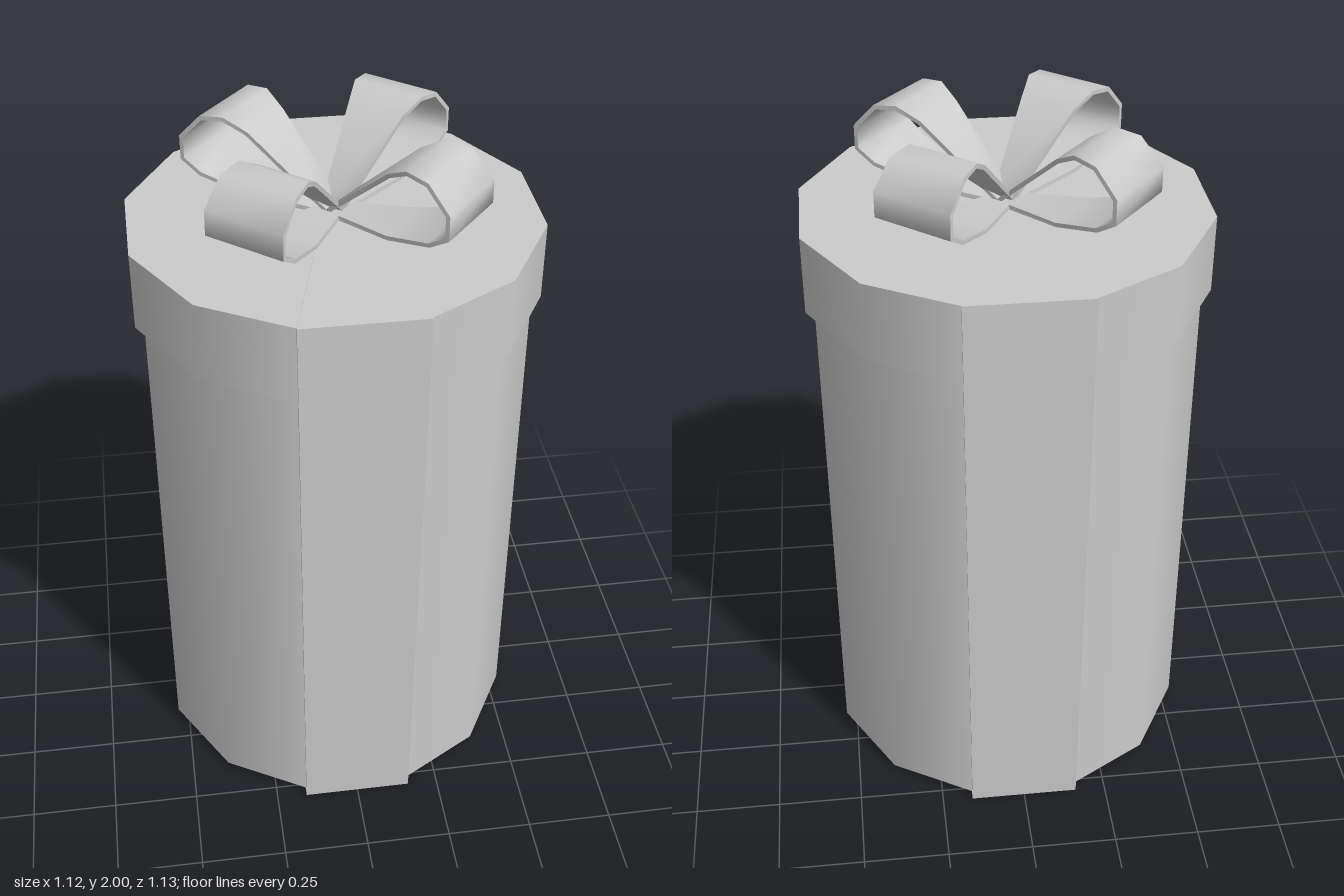
import * as THREE from 'three';
import { toCreasedNormals } from 'three/addons/utils/BufferGeometryUtils.js';

const material = new THREE.MeshStandardMaterial({ color: 0xcccccc });

// Closed strip of ribbon: a counter-clockwise path of [x, y, halfWidth], thickened inwards
function ribbonGeometry(path, thickness) {
  const n = path.length, positions = [], index = [];
  const normal = (a, b) => new THREE.Vector2(b[1] - a[1], a[0] - b[0]).normalize();
  path.forEach((p, i) => {
    const n1 = normal(path[(i + n - 1) % n], p);
    const n2 = normal(p, path[(i + 1) % n]);
    const scale = thickness / Math.max(1 + n1.dot(n2), 0.6);
    const m = n1.clone().add(n2).multiplyScalar(scale);
    const [x, y, w] = p;
    positions.push(x, y, w, x, y, -w, x - m.x, y - m.y, -w, x - m.x, y - m.y, w);
    for (let k = 0; k < 4; k++) {
      const j = (i + 1) % n, k2 = (k + 1) % 4;
      const a = i * 4 + k, b = i * 4 + k2, c = j * 4 + k2, d = j * 4 + k;
      index.push(a, b, c, a, c, d);
    }
  });
  const geometry = new THREE.BufferGeometry();
  geometry.setAttribute('position', new THREE.Float32BufferAttribute(positions, 3));
  geometry.setIndex(index);
  return toCreasedNormals(geometry, THREE.MathUtils.degToRad(65));
}

// Twelve-sided drum with a flat side facing the front
function drum(name, radius, bottom, top) {
  const geometry = new THREE.CylinderGeometry(radius, radius, top - bottom, 12, 1, false, Math.PI / 12);
  const mesh = new THREE.Mesh(geometry, material);
  mesh.name = name;
  mesh.position.y = (top + bottom) / 2;
  return mesh;
}

export function createModel() {
  const group = new THREE.Group();
  group.name = 'giftBox';

  group.add(drum('boxBody', 0.552, 0.012, 1.6));
  group.add(drum('lid', 0.578, 1.525, 1.75));

  // Ribbon wrapped front to back, pinched at the top centre
  const band = new THREE.Mesh(ribbonGeometry([
    [0, 1.756, 0.025], [-0.561, 1.756, 0.168], [-0.565, 1.525, 0.167], [-0.543, 0, 0.16],
    [0.543, 0, 0.16], [0.565, 1.525, 0.167], [0.561, 1.756, 0.168],
  ], 0.01), material);
  band.name = 'ribbonBand';
  band.rotation.y = -Math.PI / 2;
  group.add(band);

  // Bow of four loops around the centre
  const bow = new THREE.Group();
  bow.name = 'bow';
  const loopGeometry = ribbonGeometry([
    [0, 1.757, 0.036], [0.22, 1.775, 0.088], [0.36, 1.81, 0.114], [0.418, 1.847, 0.119],
    [0.418, 1.918, 0.119], [0.35, 1.99, 0.114], [0.28, 2, 0.105], [0.215, 1.965, 0.085],
    [0, 1.775, 0.036],
  ], 0.012);
  for (let i = 0; i < 4; i++) {
    const loop = new THREE.Mesh(loopGeometry, material);
    loop.name = `bowLoop${i + 1}`;
    loop.rotation.y = THREE.MathUtils.degToRad(49.8 + 90 * i);
    bow.add(loop);
  }
  group.add(bow);

  return group;
}
